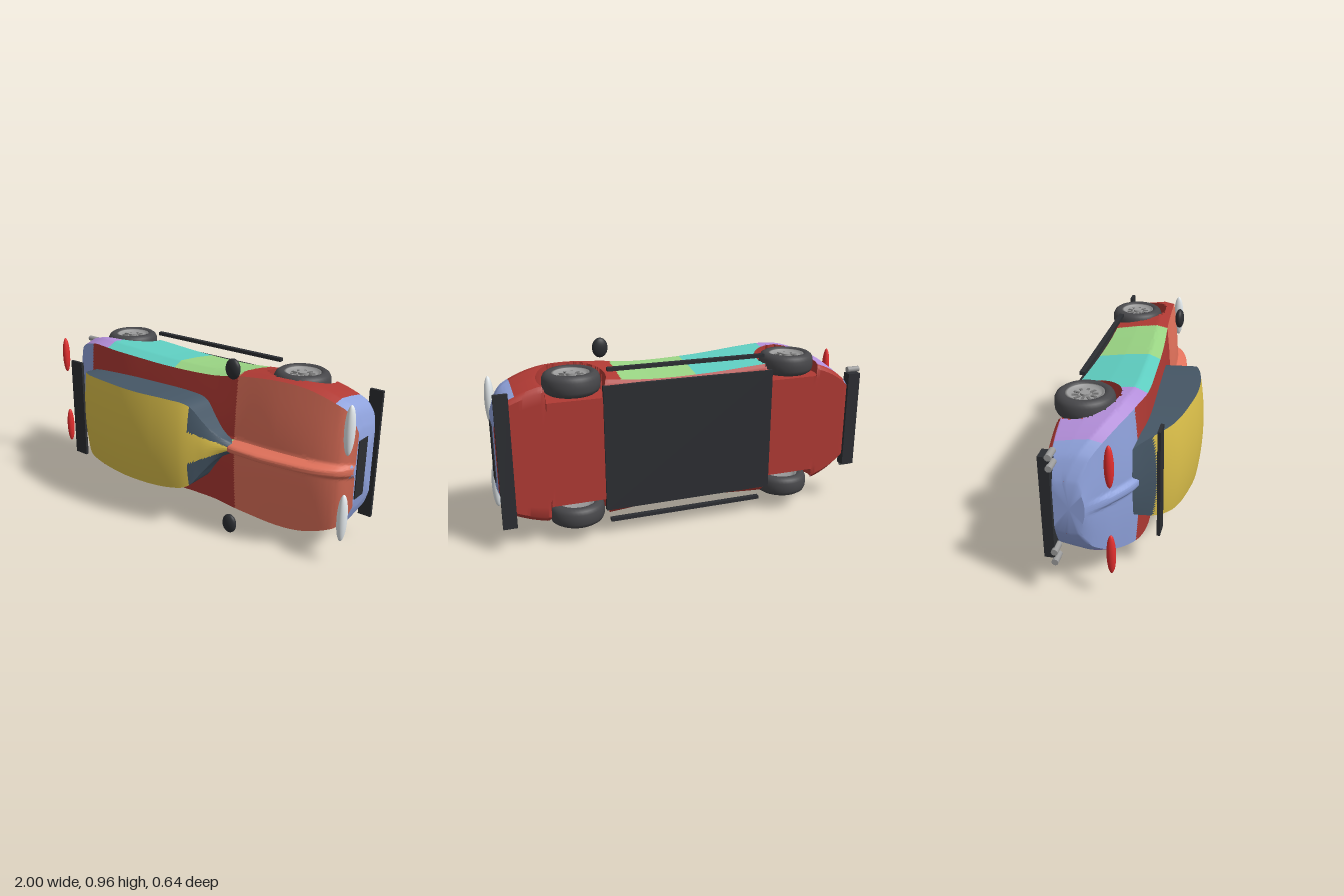
import * as THREE from 'three';
import { toCreasedNormals } from 'three/addons/utils/BufferGeometryUtils.js';

// The car lies on its side: nose to +x, roof to +z, width along y about MID.
const MID = 0.485;
const WHEELS = [-0.575, 0.595], WHEEL_Z = -0.18, ARCH = 0.17;
const C = {
  red: 0xb03a34, coral: 0xe4735c, teal: 0x5fcfc2, green: 0x9ad584, purple: 0xb48fdb,
  blue: 0x8fa2dc, yellow: 0xdcc04a, glass: 0x465766, dark: 0x2c2e32, tyre: 0x47474a,
  rim: 0x9b9b9b, lamp: 0xe4eaed, tail: 0xe42f2f,
};
const mat = (color, extra = {}) => new THREE.MeshStandardMaterial({ color, ...extra });

// Smooth function through [x, value] points
function curve(p) {
  const slope = (i) => {
    const a = p[Math.max(i - 1, 0)], b = p[Math.min(i + 1, p.length - 1)];
    return (b[1] - a[1]) / (b[0] - a[0]);
  };
  return (x) => {
    let i = 0;
    while (i < p.length - 2 && x > p[i + 1][0]) i++;
    const h = p[i + 1][0] - p[i][0], t = THREE.MathUtils.clamp((x - p[i][0]) / h, 0, 1);
    const t2 = t * t, t3 = t2 * t;
    return (2 * t3 - 3 * t2 + 1) * p[i][1] + (t3 - 2 * t2 + t) * h * slope(i)
      + (3 * t2 - 2 * t3) * p[i + 1][1] + (t3 - t2) * h * slope(i + 1);
  };
}

// Loft of mirrored half sections [w, z], bottom centre to top centre, closed at both ends
function loft(xs, half, adjust = (v) => v) {
  const pos = [], idx = [];
  let m = 0;
  const ring = (x, squash) => {
    const h = half(x);
    const loop = [...h, ...h.slice(1, -1).reverse().map(([w, z]) => [-w, z])];
    const zc = (h[0][1] + h[h.length - 1][1]) / 2;
    m = loop.length;
    for (const [w, z] of loop) {
      const v = squash ? [x, 0, zc] : adjust([x, w, z]);
      pos.push(v[0], v[1] + MID, v[2]);
    }
  };
  ring(xs[0], true);
  xs.forEach((x) => ring(x, false));
  ring(xs[xs.length - 1], true);
  for (let i = 0; i < xs.length + 1; i++) {
    for (let j = 0; j < m; j++) {
      const a = i * m + j, b = i * m + (j + 1) % m;
      idx.push(a, b, a + m, b, b + m, a + m);
    }
  }
  const g = new THREE.BufferGeometry();
  g.setAttribute('position', new THREE.Float32BufferAttribute(pos, 3));
  g.setIndex(idx);
  return toCreasedNormals(g, 0.7);
}

// Splits a geometry into one mesh per painted panel
function paint(geo, name, pick) {
  const group = new THREE.Group(), parts = {};
  group.name = name;
  const p = geo.attributes.position.array, n = geo.attributes.normal.array;
  const a = new THREE.Vector3(), b = new THREE.Vector3(), c = new THREE.Vector3();
  for (let i = 0; i < p.length; i += 9) {
    a.fromArray(p, i); b.fromArray(p, i + 3); c.fromArray(p, i + 6);
    const mid = a.clone().add(b).add(c).divideScalar(3);
    mid.y -= MID;
    const normal = b.sub(a).cross(c.sub(a));
    if (normal.length() < 1e-9) continue;
    const key = pick(mid, normal.normalize());
    const part = (parts[key] ??= { p: [], n: [] });
    for (let k = i; k < i + 9; k++) { part.p.push(p[k]); part.n.push(n[k]); }
  }
  for (const [key, part] of Object.entries(parts)) {
    const g = new THREE.BufferGeometry();
    g.setAttribute('position', new THREE.Float32BufferAttribute(part.p, 3));
    g.setAttribute('normal', new THREE.Float32BufferAttribute(part.n, 3));
    const mesh = new THREE.Mesh(g, mat(C[key], { side: THREE.DoubleSide }));
    mesh.name = `${name} ${key} panel`;
    group.add(mesh);
  }
  return group;
}

const steps = (a, b, n) => Array.from({ length: n + 1 }, (_, i) => a + (b - a) * i / n);

function body() {
  const W = curve([[-0.96, 0.13], [-0.94, 0.18], [-0.9, 0.25], [-0.8, 0.33], [-0.65, 0.388], [-0.55, 0.4], [-0.4, 0.393],
    [-0.1, 0.373], [0.2, 0.37], [0.4, 0.387], [0.6, 0.4], [0.75, 0.388], [0.9, 0.335], [0.95, 0.29], [0.985, 0.2]]);
  const S = curve([[-0.96, -0.12], [-0.9, -0.07], [-0.8, 0], [-0.65, 0.07], [-0.5, 0.1], [-0.2, 0.085], [0.1, 0.065],
    [0.4, 0.04], [0.7, 0.02], [0.9, -0.01], [0.985, -0.06]]);
  const D = curve([[-0.96, -0.09], [-0.85, -0.01], [-0.7, 0.075], [-0.5, 0.11], [-0.1, 0.1], [0.2, 0.08], [0.4, 0.062],
    [0.6, 0.06], [0.8, 0.038], [0.92, 0], [0.985, -0.055]]);
  const B = curve([[-0.96, -0.235], [-0.93, -0.265], [-0.85, -0.27], [0.9, -0.27], [0.96, -0.262], [0.985, -0.23]]);
  const ridge = curve([[-0.96, 0], [-0.85, 0.02], [-0.7, 0.02], [-0.5, 0], [0.2, 0], [0.36, 0.06], [0.5, 0.07],
    [0.6, 0.065], [0.85, 0.05], [0.95, 0.035], [0.985, 0.015]]);
  const tuck = curve([[-0.96, 0.96], [-0.6, 0.94], [-0.4, 0.93], [0.2, 0.94], [0.4, 0.97], [0.985, 0.97]]);

  const half = (x) => {
    const w = W(x), s = S(x), d = D(x), b = B(x), r = ridge(x), top = tuck(x) * w;
    const low = [[0, b], [0.84 * w, b], [0.91 * w, b + 0.02], [0.965 * w, b + (s - b) * 0.45], [w, s - 0.06], [top, s]];
    const pts = [];
    [6, 2, 14, 14, 5].forEach((n, i) => {
      for (let k = 0; k < n; k++) {
        pts.push([0, 1].map((e) => low[i][e] + (low[i + 1][e] - low[i][e]) * k / n));
      }
    });
    for (const k of steps(0, 1, 30)) {
      const u = Math.pow(1 - k, 1.6) * top;
      const rise = Math.sin((1 - u / top) * Math.PI / 2);
      pts.push([u, s + (d - s) * rise + r * Math.exp(-((u / 0.028) ** 4))]);
    }
    return pts;
  };

  // Wheel wells: points near the arch snap to its rim, those inside are pushed in
  const wells = ([x, w, z]) => {
    for (const cx of WHEELS) {
      const dx = x - cx, dz = z - WHEEL_Z, d = Math.hypot(dx, dz);
      if (Math.abs(w) < 0.27 || d > ARCH + 0.008) continue;
      const k = d > ARCH - 0.008 ? ARCH / d : 1;
      return [cx + dx * k, d < ARCH ? Math.sign(w) * 0.27 : w, WHEEL_Z + dz * k];
    }
    return [x, w, z];
  };

  return paint(loft(steps(-0.96, 0.985, 260), half, wells), 'body', (p, n) => {
    if (Math.abs(p.y) > 0.2 && WHEELS.some((cx) => Math.hypot(p.x - cx, p.z - WHEEL_Z) < ARCH + 0.003)) return 'red';
    if (n.z < -0.55) return 'red';
    if (n.z > 0.55 && p.z > -0.14) return p.x < -0.65 ? 'blue' : p.x < 0.36 ? 'red' : 'coral';
    if (p.x > 0.36 && Math.abs(p.y) < 0.06 && p.z > -0.03) return 'coral';
    if (p.x < -0.85 || p.x > 0.88) return 'blue';
    return p.x < -0.5 ? 'purple' : p.x < -0.03 ? 'teal' : p.x < 0.36 ? 'green' : 'red';
  });
}

function cabin() {
  const W = curve([[-0.74, 0.14], [-0.68, 0.19], [-0.6, 0.23], [-0.4, 0.25], [-0.1, 0.252], [0.1, 0.245], [0.19, 0.22],
    [0.25, 0.135], [0.3, 0.07], [0.36, 0.03], [0.4, 0.015]]);
  const H = curve([[-0.74, 0.04], [-0.68, 0.11], [-0.6, 0.205], [-0.5, 0.265], [-0.3, 0.308], [-0.15, 0.32], [0, 0.308],
    [0.15, 0.268], [0.25, 0.205], [0.32, 0.15], [0.4, 0.1]]);
  const half = (x) => {
    const w = W(x), h = H(x), edge = h - 0.022;
    const pts = [[0, 0], [0.94 * w, 0]];
    for (const t of steps(0.2, 0.9, 6)) pts.push([w * (0.96 + 0.04 * t), edge * t]);
    for (const t of steps(0, 1, 16)) pts.push([w * (1 - t), h - 0.022 * (1 - t) ** 2]);
    return pts;
  };
  return paint(loft(steps(-0.74, 0.4, 120), half), 'cabin', (p, n) => {
    if (n.z < 0.5 || p.x < -0.63) return 'glass';
    if (p.x > 0.19) return Math.abs(p.y) < 0.09 * (0.38 - p.x) / 0.19 ? 'yellow' : 'glass';
    return 'yellow';
  });
}

// Wheel with its axle along y and its outer face at +y
function wheel() {
  const g = new THREE.Group();
  g.name = 'wheel';
  const add = (geo, color, name) => {
    const mesh = new THREE.Mesh(geo, mat(color, { side: THREE.DoubleSide }));
    mesh.name = name;
    g.add(mesh);
    return mesh;
  };
  const lathe = (pts) => new THREE.LatheGeometry(pts.map(([r, y]) => new THREE.Vector2(r, y)), 40);
  add(lathe([[0.092, -0.045], [0.1, -0.053], [0.118, -0.053], [0.134, -0.042], [0.142, -0.025], [0.144, 0],
    [0.142, 0.025], [0.134, 0.042], [0.118, 0.053], [0.1, 0.053], [0.092, 0.045]]), C.tyre, 'tyre');
  add(lathe([[0, -0.02], [0.06, -0.02], [0.08, -0.04], [0.093, -0.046], [0.093, 0.046], [0.082, 0.046],
    [0.074, 0.03], [0, 0.034]]), C.rim, 'rim');
  add(new THREE.CylinderGeometry(0.024, 0.024, 0.012, 20), C.rim, 'hub cap').position.y = 0.038;
  for (let i = 0; i < 10; i++) {
    const a = i * Math.PI / 5;
    const slot = add(new THREE.BoxGeometry(0.03, 0.004, 0.012), 0x747474, 'rim slot');
    slot.position.set(Math.cos(a) * 0.047, 0.034, Math.sin(a) * 0.047);
    slot.rotation.y = -a;
  }
  return g;
}

export function createModel() {
  const car = new THREE.Group();
  car.name = 'car';
  const add = (name, geo, color, x, w, z) => {
    const mesh = new THREE.Mesh(geo, mat(color));
    mesh.name = name;
    mesh.position.set(x, MID + w, z);
    car.add(mesh);
    return mesh;
  };
  const box = (name, sx, sy, sz, x, w, z) => add(name, new THREE.BoxGeometry(sx, sy, sz), C.dark, x, w, z);
  const egg = (name, color, rx, ry, rz, x, w, z) =>
    add(name, new THREE.SphereGeometry(1, 28, 18).scale(rx, ry, rz), color, x, w, z);

  car.add(body(), cabin());

  // Trim along the centre
  box('floor panel', 0.91, 0.66, 0.02, 0.005, 0, -0.27);
  box('front splitter', 0.07, 0.685, 0.018, 0.95, 0, -0.288);
  box('rear diffuser', 0.07, 0.53, 0.05, -0.945, 0, -0.26);
  box('front plate', 0.02, 0.305, 0.085, 0.98, 0, -0.108);
  box('rear spoiler', 0.085, 0.565, 0.016, -0.66, 0, 0.192);

  // Mirrored parts
  for (const s of [1, -1]) {
    for (const x of WHEELS) {
      const w = wheel();
      w.position.set(x, MID + s * 0.343, WHEEL_Z);
      if (s < 0) w.rotation.x = Math.PI;
      car.add(w);
    }
    box('side skirt', 0.84, 0.018, 0.026, 0.01, s * 0.403, -0.24);
    egg('headlight', C.lamp, 0.025, 0.126, 0.03, 0.972, s * 0.228, 0.012);
    egg('tail light', C.tail, 0.02, 0.105, 0.022, -0.948, s * 0.23, 0.022);
    egg('wing mirror', C.dark, 0.042, 0.053, 0.024, 0.375, s * 0.428, 0.11);
    for (const w of [0.22, 0.275]) {
      add('exhaust pipe', new THREE.CylinderGeometry(0.016, 0.016, 0.07, 18), C.rim, -0.965, s * w, -0.23)
        .rotation.z = Math.PI / 2;
    }
  }
  return car;
}
